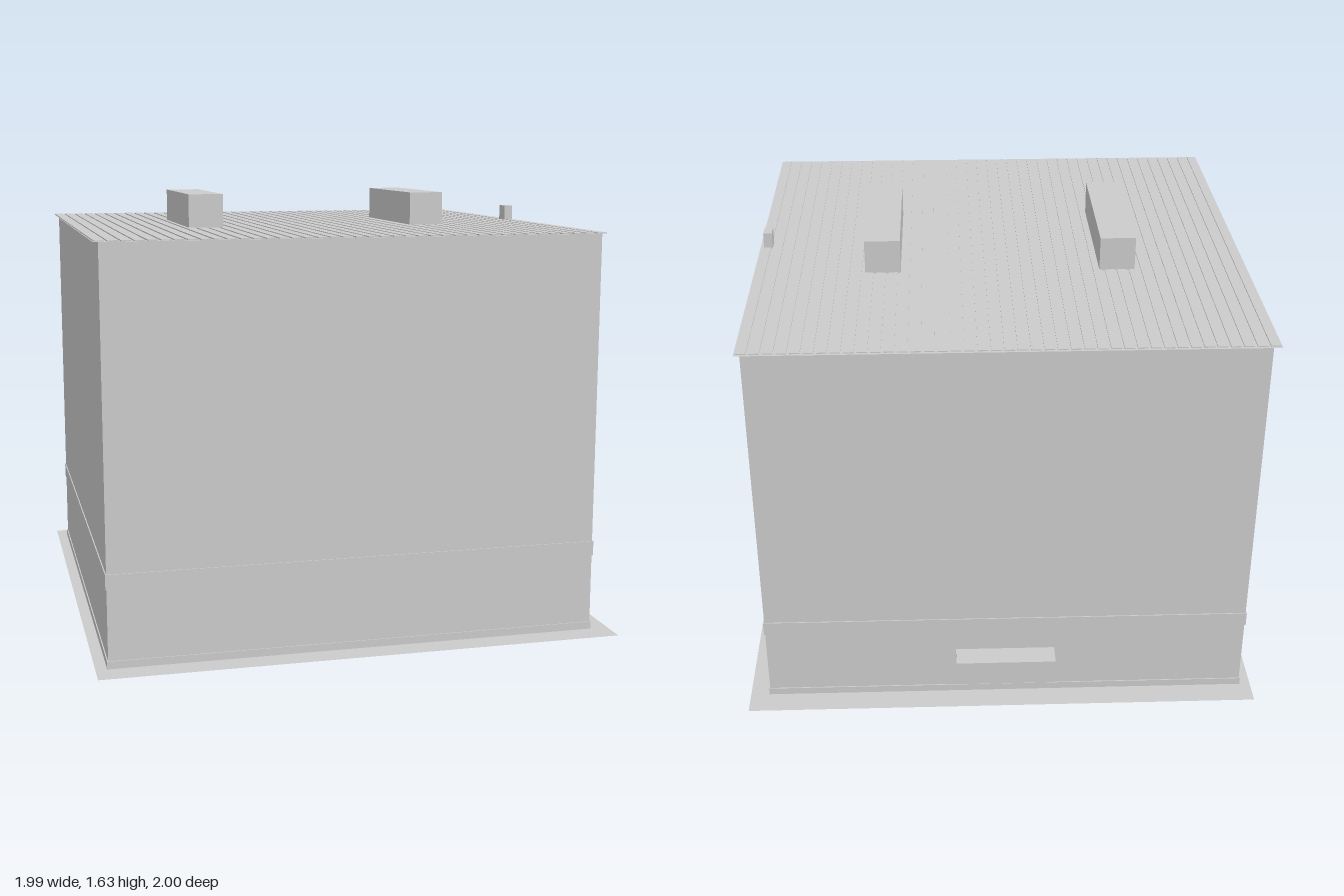
import * as THREE from 'three';

export function createModel() {
  const model = new THREE.Group();
  const mat = new THREE.MeshStandardMaterial({ color: 0xcccccc, side: THREE.DoubleSide });

  // Box given by its min and max corners
  function block(name, [x0, y0, z0], [x1, y1, z1], parent = model) {
    const mesh = new THREE.Mesh(new THREE.BoxGeometry(x1 - x0, y1 - y0, z1 - z0), mat);
    mesh.position.set((x0 + x1) / 2, (y0 + y1) / 2, (z0 + z1) / 2);
    mesh.name = name;
    parent.add(mesh);
    return mesh;
  }

  // Horizontal thin sheet
  function sheet(name, x0, x1, z0, z1, y) {
    const geo = new THREE.PlaneGeometry(x1 - x0, z1 - z0).rotateX(-Math.PI / 2);
    const mesh = new THREE.Mesh(geo, mat);
    mesh.position.set((x0 + x1) / 2, y, (z0 + z1) / 2);
    mesh.name = name;
    model.add(mesh);
  }

  const L = -0.955, R = 0.865, B = -0.905, F = 0.905, H = 1.497;

  // Ground pad, walls and base skirting
  sheet('groundPad', -1, 0.94, -1, 1, 0);
  block('walls', [L, 0.002, B], [R, H, F]);
  block('skirting', [L - 0.004, 0.002, B - 0.004], [R + 0.004, 0.03, F + 0.004]);

  // Roof sheet with fine raised ribs
  const roof = { x0: -0.975, x1: 0.88, z0: -0.95, z1: 0.933 };
  sheet('roofSheet', roof.x0, roof.x1, roof.z0, roof.z1, 1.498);
  const ribs = new THREE.Group();
  ribs.name = 'roofRibs';
  model.add(ribs);
  const count = 41, step = (roof.x1 - roof.x0) / count;
  for (let i = 0; i < count; i++) {
    const x = roof.x0 + i * step;
    block('roofRib', [x + 0.004, 1.498, roof.z0 + 0.01], [x + step - 0.006, 1.502, roof.z1 - 0.01], ribs);
  }

  // Two long roof boxes
  for (const x of [-0.55, 0.33]) block('roofVent', [x, 1.498, -0.293], [x + 0.133, 1.628, 0.285]);

  // Thin conduit band round the walls, stopping either side of the door
  const y0 = 0.29, y1 = 0.345, t = 0.004;
  block('bandFront', [L - t, y0, F], [R + t, y1, F + t]);
  block('bandLeft', [L - t, y0, B], [L, y1, F]);
  block('bandBack', [L - t, y0, B - t], [R + t, y1, B]);
  block('bandSide', [R, y0, -0.04], [R + t, y1, F]);
  block('bandEnd', [R, y0, B], [R + t, y1, B + 0.025]);

  // Vertical conduit with its cap at the roof edge
  block('conduit', [R, y0, -0.043], [R + 0.005, 1.5, 0.018]);
  block('conduitCap', [0.832, 1.49, -0.043], [0.865, 1.56, 0.018]);

  // Wall unit on a flanged backing plate
  block('wallUnitPlate', [R, 0.467, 0.125], [0.893, 0.797, 0.648]);
  block('wallUnit', [0.89, 0.483, 0.14], [0.99, 0.785, 0.635]);

  // Small box low on the back wall
  block('backBox', [-0.23, 0.1, -0.99], [0.145, 0.2, B]);

  // Portal-shaped frame extruded outward from the side wall
  function doorFrame(name, z0, z1, top, width, depth) {
    const s = new THREE.Shape();
    s.moveTo(-z1, 0.005);
    s.lineTo(-z1, top);
    s.lineTo(-z0, top);
    s.lineTo(-z0, 0.005);
    s.lineTo(-z0 - width, 0.005);
    s.lineTo(-z0 - width, top - width);
    s.lineTo(-z1 + width, top - width);
    s.lineTo(-z1 + width, 0.005);
    const geo = new THREE.ExtrudeGeometry(s, { depth, bevelEnabled: false });
    const mesh = new THREE.Mesh(geo, mat);
    mesh.rotation.y = Math.PI / 2;
    mesh.position.x = R;
    mesh.name = name;
    model.add(mesh);
  }

  // Door with casing, stepped inner frame, panel, threshold and handle
  doorFrame('doorCasing', -0.68, -0.185, 0.957, 0.045, 0.012);
  doorFrame('doorInnerFrame', -0.64, -0.235, 0.93, 0.025, 0.02);
  block('doorPanel', [R, 0.03, -0.62], [0.876, 0.91, -0.255]);
  block('threshold', [R, 0.005, -0.637], [0.885, 0.022, -0.25]);
  const handle = new THREE.Mesh(new THREE.CylinderGeometry(0.007, 0.007, 0.012, 12), mat);
  handle.rotation.z = Math.PI / 2;
  handle.position.set(0.88, 0.48, -0.285);
  handle.name = 'doorHandle';
  model.add(handle);

  return model;
}
